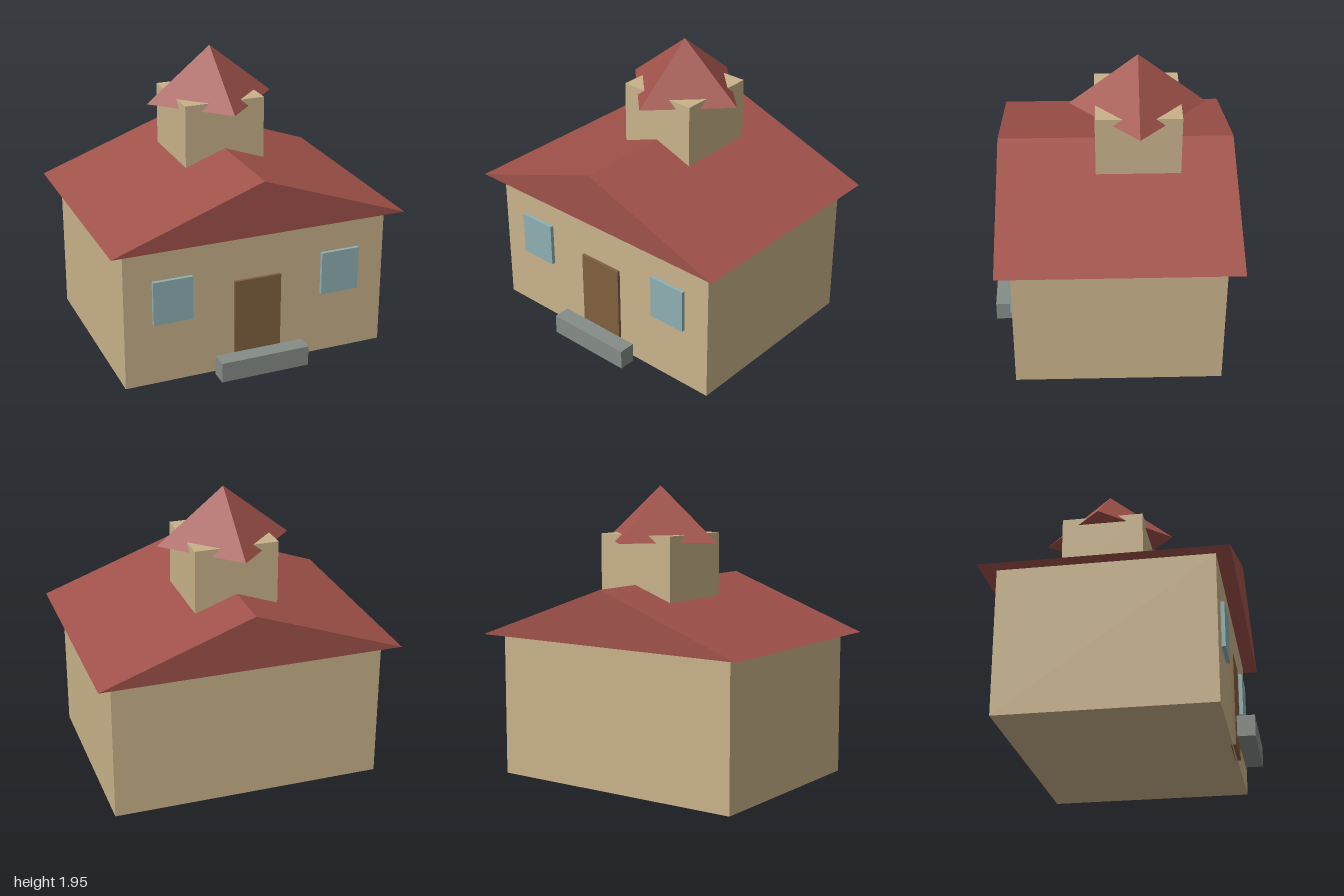
import * as THREE from 'three';

const mat = (name, color) => {
  const m = new THREE.MeshStandardMaterial({ color });
  m.name = name;
  return m;
};

export function createModel() {
  const house = new THREE.Group();
  house.name = 'house';

  const plaster = mat('plaster', 0xc8b28a);
  const tile = mat('roofTile', 0xa0524a);
  const wood = mat('wood', 0x80603f);
  const glass = mat('glass', 0x8fafb2);
  const stone = mat('stone', 0x858c87);
  tile.flatShading = true;

  const add = (name, geometry, material) => {
    const mesh = new THREE.Mesh(geometry, material);
    mesh.name = name;
    house.add(mesh);
    return mesh;
  };

  // Box given by its extents on each axis
  const box = (name, material, [x0, x1], [y0, y1], [z0, z1]) =>
    add(name, new THREE.BoxGeometry(x1 - x0, y1 - y0, z1 - z0), material)
      .position.set((x0 + x1) / 2, (y0 + y1) / 2, (z0 + z1) / 2);

  // Main body
  box('walls', plaster, [-0.902, 0.902], [0, 0.957], [-0.706, 0.655]);

  // Gable roof: triangular prism running front to back
  const gable = new THREE.Shape([
    new THREE.Vector2(-1, 0.957),
    new THREE.Vector2(1, 0.957),
    new THREE.Vector2(0, 1.317),
  ]);
  const roof = new THREE.ExtrudeGeometry(gable, { depth: 1.555, bevelEnabled: false });
  add('gableRoof', roof, tile).position.z = -0.805;

  // Tower sunk into the ridge, with a pyramid set cornerwise on top
  const towerZ = -0.167;
  box('tower', plaster, [-0.276, 0.276], [1.1, 1.638], [towerZ - 0.276, towerZ + 0.276]);
  add('towerRoof', new THREE.ConeGeometry(0.442, 0.357, 4), tile)
    .position.set(0, 1.59 + 0.357 / 2, towerZ);

  // Door, step and the two front windows
  box('door', wood, [-0.16, 0.16], [0, 0.627], [0.64, 0.675]);
  box('step', stone, [-0.304, 0.304], [0, 0.135], [0.695, 0.808]);
  box('leftWindow', glass, [0.449, 0.714], [0.426, 0.722], [0.64, 0.68]);
  box('rightWindow', glass, [-0.714, -0.449], [0.426, 0.722], [0.64, 0.68]);

  return house;
}
